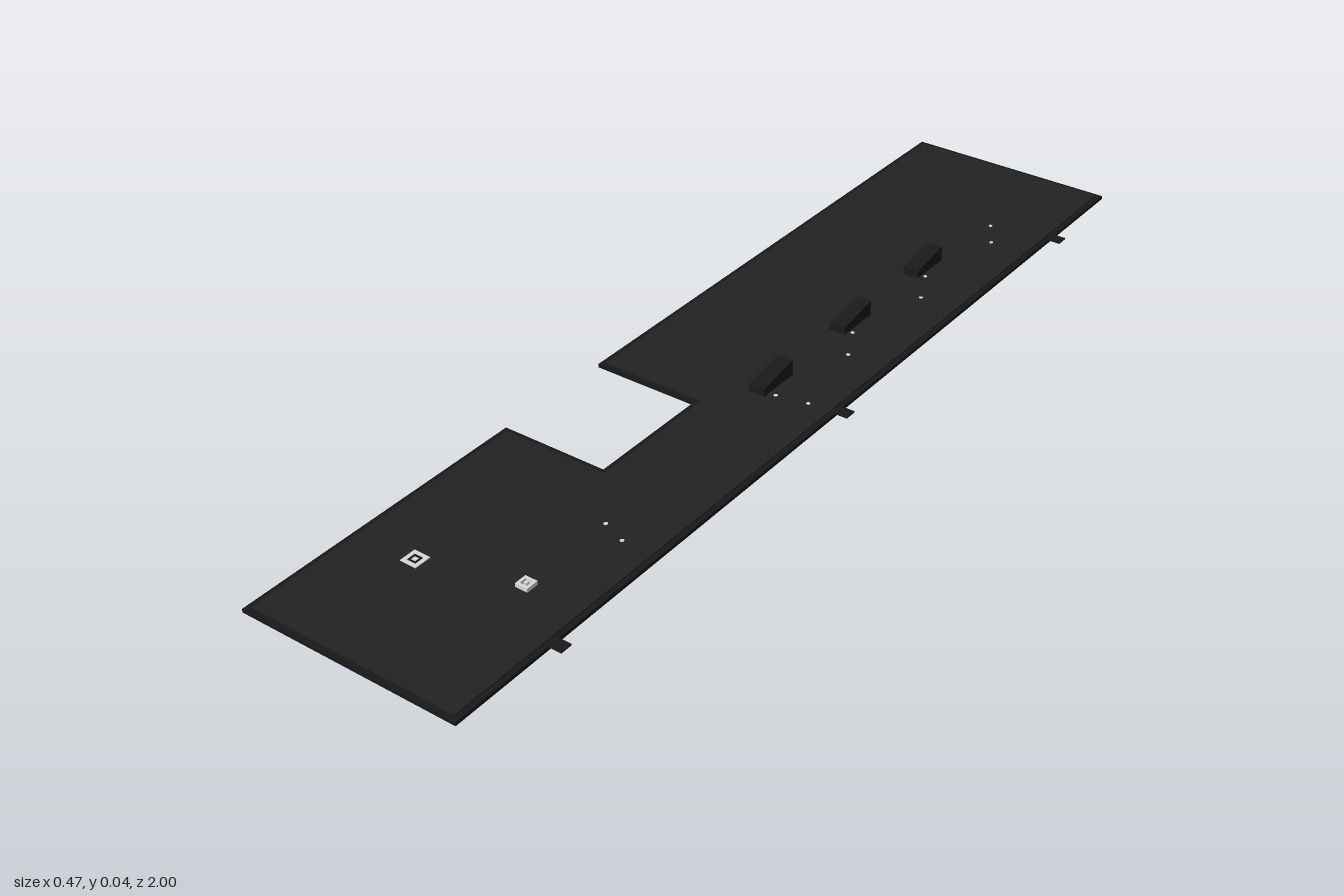
import * as THREE from 'three';

const mat = (name, color) => {
  const m = new THREE.MeshStandardMaterial({ color });
  m.name = name;
  return m;
};

export function createModel() {
  const model = new THREE.Group();
  model.name = 'flatRoof';
  const membrane = mat('roofMembrane', 0x222222);
  const trim = mat('darkTrim', 0x191919);
  const ceiling = mat('ceilingGrey', 0x505050);
  const pale = mat('paleMetal', 0xd8d8d8);

  const add = (name, geometry, material, x = 0, y = 0, z = 0, parent = model) => {
    const mesh = new THREE.Mesh(geometry, material);
    mesh.name = name;
    mesh.position.set(x, y, z);
    parent.add(mesh);
    return mesh;
  };
  const box = (name, material, w, h, d, x, y, z, parent) =>
    add(name, new THREE.BoxGeometry(w, h, d), material, x, y, z, parent);

  // Notched roof outline, inset by d, raised between two heights
  const slab = (name, material, d, y0, y1) => {
    const L = -0.233 + d, R = 0.209 - d, F = 1 - d;
    const nx = -0.015 + d, n0 = 0.13 - d, n1 = 0.385 + d;
    const points = [[L, F], [R, F], [R, -F], [L, -F], [L, n0], [nx, n0], [nx, n1], [L, n1]];
    const shape = new THREE.Shape(points.map(([x, z]) => new THREE.Vector2(x, -z)));
    const g = new THREE.ExtrudeGeometry(shape, { depth: y1 - y0, bevelEnabled: false });
    g.rotateX(-Math.PI / 2);
    add(name, g, material, 0, y0, 0);
  };
  slab('ceiling', ceiling, 0.006, 0.002, 0.004);
  slab('edgeTrim', trim, 0, 0.003, 0.01);
  slab('roofDeck', membrane, 0.01, 0.0095, 0.0125);

  // Gutter outlets along the left edge
  for (const z of [-0.78, 0, 0.78]) box('edgeOutlet', trim, 0.03, 0.003, 0.024, 0.218, 0.009, z);

  // Sloping roof hoods, each with an open duct below
  for (const z of [-0.52, -0.26, 0]) {
    const hood = new THREE.Group();
    hood.name = 'roofHood';
    hood.position.set(0.062, 0, z);
    model.add(hood);
    const side = new THREE.Shape([[-0.045, 0.011], [0.045, 0.011], [0.045, 0.028], [-0.045, 0.043]]
      .map(([a, b]) => new THREE.Vector2(a, b)));
    const g = new THREE.ExtrudeGeometry(side, { depth: 0.033, bevelEnabled: false });
    g.rotateY(-Math.PI / 2);
    add('hoodBody', g, trim, 0.0165, 0, 0, hood);
    box('ductOpening', pale, 0.028, 0.002, 0.08, 0, 0.0015, 0, hood);
  }

  // Square vents: pale frame, dark well and pale centre
  const vent = (x, z, size, height) => {
    const group = new THREE.Group();
    group.name = 'squareVent';
    group.position.set(x, 0, z);
    model.add(group);
    const bar = size * 0.22, off = (size - bar) / 2;
    for (const s of [-1, 1]) {
      box('ventFrame', pale, size, height, bar, 0, 0.012 + height / 2, s * off, group);
      box('ventFrame', pale, bar, height, size - 2 * bar, s * off, 0.012 + height / 2, 0, group);
    }
    box('ventWell', trim, size - 2 * bar, 0.001, size - 2 * bar, 0, 0.0127, 0, group);
    box('ventCentre', pale, size * 0.26, height, size * 0.26, 0, 0.012 + height / 2, 0, group);
    box('ventOutlet', pale, size * 0.45, 0.003, size * 0.45, 0, 0.0015, 0, group);
  };
  vent(-0.1, 0.755, 0.034, 0.002);
  vent(0.088, 0.703, 0.025, 0.008);

  // Small pipe stubs
  const stubs = [[0.087, -0.745], [0.123, -0.685], [0.087, -0.49], [0.123, -0.415], [0.087, -0.23],
    [0.123, -0.16], [0.093, 0.03], [0.155, 0.018], [0.087, 0.505], [0.137, 0.525]];
  for (const [x, z] of stubs) {
    add('pipeStub', new THREE.CylinderGeometry(0.004, 0.004, 0.0135, 8), pale, x, 0.00675, z);
  }
  return model;
}
